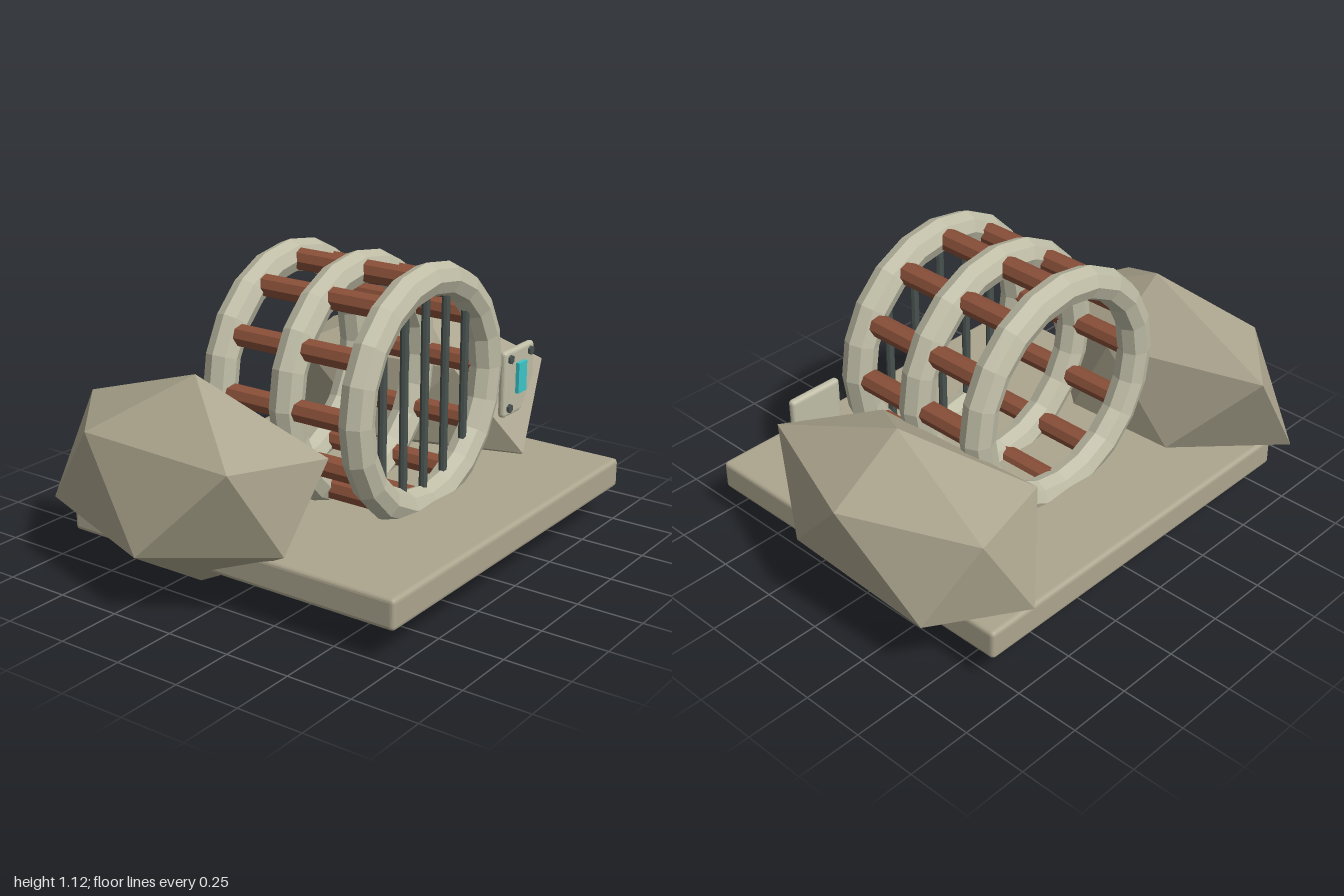
import * as THREE from 'three';
import { RoundedBoxGeometry } from 'three/addons/geometries/RoundedBoxGeometry.js';
import { ConvexGeometry } from 'three/addons/geometries/ConvexGeometry.js';

const paint = (color) => new THREE.MeshStandardMaterial({ color, flatShading: true });
const stone = paint(0xaca58e);
const concrete = paint(0xbfbda6);
const rust = paint(0x8a5039);
const iron = paint(0x48524f);
const glass = paint(0x3cc6c8);

export function createModel() {
  const model = new THREE.Group();

  const add = (parent, name, geometry, material, x = 0, y = 0, z = 0) => {
    const mesh = new THREE.Mesh(geometry, material);
    mesh.name = name;
    mesh.position.set(x, y, z);
    parent.add(mesh);
    return mesh;
  };
  const group = (name, x = 0, y = 0, z = 0) => {
    const g = new THREE.Group();
    g.name = name;
    g.position.set(x, y, z);
    model.add(g);
    return g;
  };

  // Ground slab
  add(model, 'baseSlab', new RoundedBoxGeometry(1.545, 0.115, 1.41, 2, 0.016), stone, 0.018, 0.182, 0.035);

  // Boulders: tip, upper ring of five, lower ring of five, bottom tip
  const boulder = (name, points) =>
    add(model, name, new ConvexGeometry(points.map((p) => new THREE.Vector3(...p))), stone);

  boulder('rightBoulder', [
    [-0.665, 0.8, -0.145],
    [-0.92, 0.59, 0.2], [-0.58, 0.58, 0.355], [-0.4, 0.585, -0.13], [-0.565, 0.6, -0.735], [-0.89, 0.59, -0.46],
    [-1, 0.24, -0.145], [-0.755, 0.27, 0.3], [-0.4, 0.25, 0.03], [-0.42, 0.245, -0.42], [-0.77, 0.24, -0.75],
    [-0.665, 0.03, -0.145],
  ]);
  boulder('leftBoulder', [
    [0.7, 0.77, -0.145],
    [0.995, 0.58, -0.145], [0.79, 0.58, 0.385], [0.47, 0.58, 0.18], [0.425, 0.575, -0.53], [0.79, 0.58, -0.63],
    [0.925, 0.265, 0.155], [0.605, 0.245, 0.42], [0.405, 0.26, -0.145], [0.61, 0.25, -0.69], [0.945, 0.26, -0.49],
    [0.7, 0.003, -0.145],
  ]);

  // Tunnel cage: three rings joined by twelve rods
  const cage = group('tunnelCage', 0.018, 0.64, 0.04);
  const ringGeometry = new THREE.TorusGeometry(0.418, 0.063, 8, 20);
  for (const z of [-0.3, 0, 0.3]) add(cage, 'ring', ringGeometry, concrete, 0, 0, z);

  const rodGeometry = new THREE.CylinderGeometry(0.043, 0.043, 0.6, 8).rotateX(Math.PI / 2);
  for (let i = 0; i < 12; i++) {
    const a = (i * Math.PI) / 6;
    add(cage, 'rod', rodGeometry, rust, 0.412 * Math.cos(a), 0.412 * Math.sin(a), 0);
  }

  // Upright bars closing the front ring
  for (let i = -2; i <= 2; i++) {
    const x = i * 0.132;
    const length = 2 * Math.sqrt(0.375 ** 2 - x * x);
    add(cage, 'gateBar', new THREE.CylinderGeometry(0.016, 0.016, length, 8), iron, x, 0, 0.3);
  }

  // Control panel with screen and corner bolts
  const panel = group('controlPanel', 0.635, 0.533, 0.36);
  add(panel, 'panelPlate', new RoundedBoxGeometry(0.22, 0.265, 0.032, 2, 0.014), concrete);
  add(panel, 'panelScreen', new THREE.BoxGeometry(0.06, 0.122, 0.02), glass, 0, 0.013, 0.021);
  const boltGeometry = new THREE.CylinderGeometry(0.018, 0.018, 0.016, 6).rotateX(Math.PI / 2);
  for (const x of [-0.075, 0.075])
    for (const y of [-0.098, 0.1]) add(panel, 'bolt', boltGeometry, iron, x, y, 0.018);

  return model;
}
